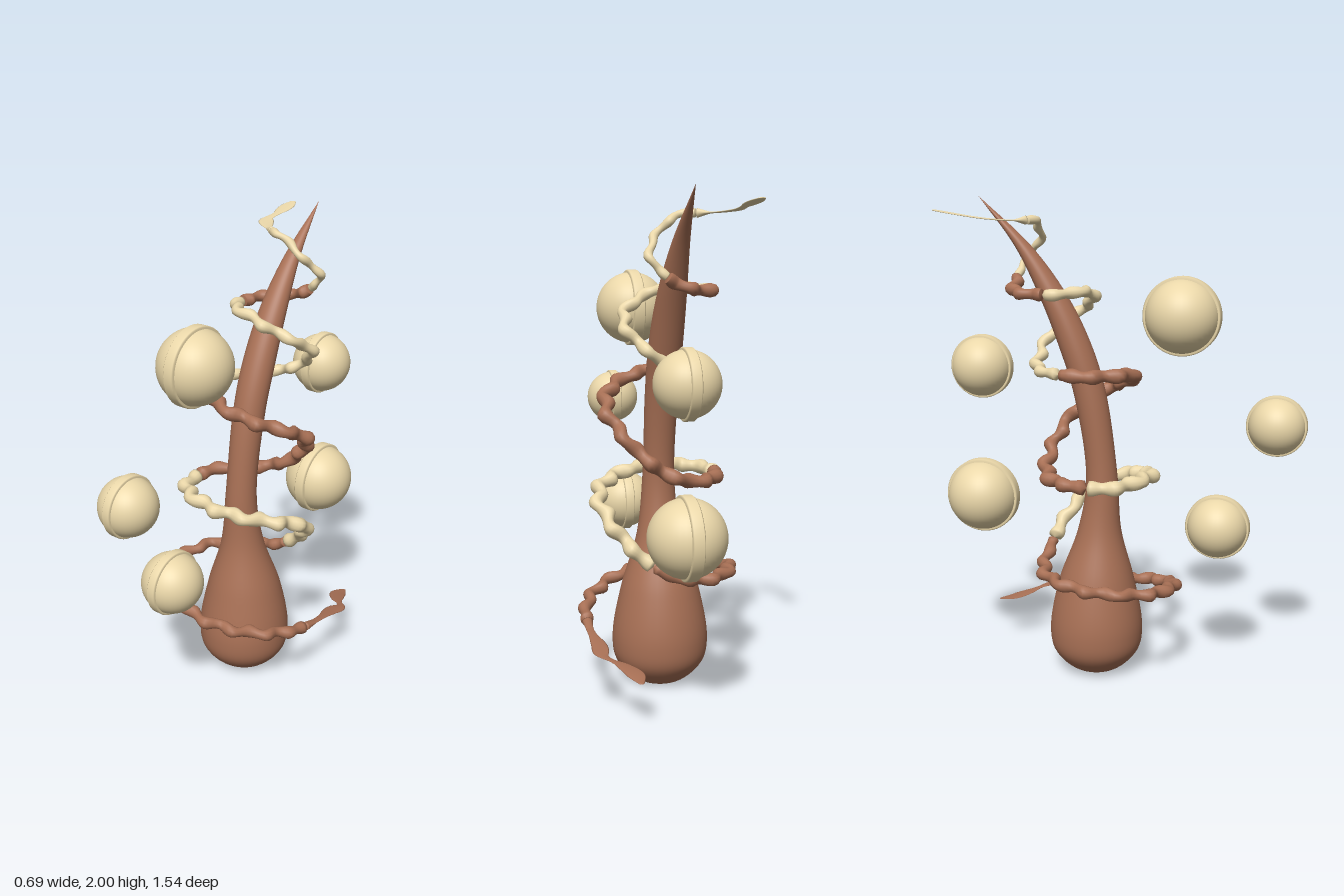
import * as THREE from 'three';

const brown = new THREE.MeshStandardMaterial({ color: 0xa87055, side: THREE.DoubleSide });
const cream = new THREE.MeshStandardMaterial({ color: 0xead7a9, side: THREE.DoubleSide });
const UP = new THREE.Vector3(0, 1, 0);
const V = (p) => new THREE.Vector3(...p);

// Skin a list of rings { c: centre, s: side vector, n: normal vector }
function loft(rings, sides) {
  const pos = [], idx = [];
  rings.forEach(({ c, s, n }, i) => {
    for (let j = 0; j < sides; j++) {
      const a = (j / sides) * Math.PI * 2;
      const p = c.clone().addScaledVector(s, Math.cos(a)).addScaledVector(n, Math.sin(a));
      pos.push(p.x, p.y, p.z);
      if (i === rings.length - 1) continue;
      const k = i * sides + j, l = i * sides + ((j + 1) % sides);
      idx.push(k, k + sides, l, l, k + sides, l + sides);
    }
  });
  const g = new THREE.BufferGeometry();
  g.setAttribute('position', new THREE.Float32BufferAttribute(pos, 3));
  g.setIndex(idx);
  g.computeVertexNormals();
  return g;
}

// Sweep an ellipse along points; size(u, length) gives [half width, half height]
function sweep(points, size, wobble = 0, steps = 110, sides = 12) {
  const curve = new THREE.CatmullRomCurve3(points, false, 'centripetal');
  const len = curve.getLength();
  const rings = [];
  for (let i = 0; i <= steps; i++) {
    const u = i / steps;
    const t = curve.getTangentAt(u);
    const s = new THREE.Vector3().crossVectors(t, UP).normalize();
    const n = new THREE.Vector3().crossVectors(s, t);
    const fade = Math.min(1, u * 8, (1 - u) * 8);
    const c = curve.getPointAt(u).addScaledVector(s, wobble * fade * Math.sin((u * len / 0.13) * Math.PI * 2));
    const [w, h] = size(u, len);
    const end = i === 0 || i === steps ? 0 : 1;
    rings.push({ c, s: s.multiplyScalar(w * end), n: n.multiplyScalar(h * end) });
  }
  return loft(rings, sides);
}

function add(parent, name, geometry, material) {
  const m = new THREE.Mesh(geometry, material);
  m.name = name;
  parent.add(m);
  return m;
}

// Vine guide, one key per quarter turn (right, front, left, back): [radius, y, centre z]
const guide = new THREE.CatmullRomCurve3([
  [0.305, 0.28, -0.12], [0.3, 0.39, -0.065], [0.31, 0.455, -0.06], [0.24, 0.5, -0.07],
  [0.25, 0.77, -0.12], [0.23, 0.865, -0.1], [0.245, 0.865, -0.07], [0.21, 0.9, -0.1],
  [0.23, 1.16, -0.15], [0.19, 1.285, -0.135], [0.19, 1.305, -0.14], [0.17, 1.33, -0.175],
  [0.18, 1.5, -0.25], [0.14, 1.62, -0.26], [0.16, 1.62, -0.27], [0.13, 1.64, -0.31],
  [0.115, 1.77, -0.4], [0.07, 1.895, -0.405], [0.12, 1.905, -0.42],
].map(V), false, 'catmullrom');

// Point on the vine after q quarter turns
function vinePoint(q) {
  const k = guide.getPoint(q / 18);
  const a = (q * Math.PI) / 2;
  return new THREE.Vector3(k.x * Math.cos(a), k.y, k.z + k.x * Math.sin(a));
}

export function createModel() {
  const model = new THREE.Group();
  model.name = 'hornWithVineAndOrbs';

  // Bulbous horn leaning back to a point: [radius, y, z]
  const profile = new THREE.CatmullRomCurve3([
    [0, 0, -0.095], [0.09, 0.006, -0.095], [0.18, 0.09, -0.095], [0.197, 0.19, -0.095],
    [0.16, 0.4, -0.093], [0.092, 0.62, -0.08], [0.066, 0.85, -0.069], [0.067, 1.2, -0.118],
    [0.068, 1.4, -0.18], [0.058, 1.6, -0.27], [0.034, 1.8, -0.397], [0, 2, -0.585],
  ].map(V), false, 'centripetal');
  const hornRings = profile.getPoints(90).map((p) => {
    const r = Math.max(0, p.x);
    return { c: new THREE.Vector3(-0.007, Math.max(0, p.y), p.z), s: new THREE.Vector3(r, 0, 0), n: new THREE.Vector3(0, 0, r) };
  });
  add(model, 'horn', loft(hornRings, 40), brown);

  // Winding vine: wavy coils of alternating colour, joined end to end
  const vine = new THREE.Group();
  vine.name = 'vine';
  model.add(vine);
  const joints = [0, 3.2, 6, 10.2, 14, 15.3, 17.6];
  [0.024, 0.028, 0.027, 0.022, 0.023, 0.016].forEach((r, i) => {
    const from = joints[i], to = joints[i + 1];
    const count = Math.ceil((to - from) * 8);
    const points = Array.from({ length: count + 1 }, (_, j) => vinePoint(from + ((to - from) * j) / count));
    const size = (u, len) => {
      const k = r * (1 + 0.15 * Math.sin((u * len / 0.09) * Math.PI * 2));
      return [k, k];
    };
    add(vine, 'vineCoil', sweep(points, size, Math.min(0.015, r * 0.6)), i % 2 ? cream : brown);
  });

  // Flat leaf blades ending the vine: half widths spaced evenly along the blade
  const blade = (widths) => {
    const c = new THREE.CatmullRomCurve3(widths.map((w, i) => new THREE.Vector3(i, w, 0)));
    return (u) => [Math.max(0.001, c.getPoint(u).y), 0.003 + 0.016 * Math.max(0, 1 - u * 7)];
  };
  add(vine, 'lowerLeaf', sweep([
    vinePoint(0), V([0.31, 0.27, -0.22]), V([0.3, 0.25, -0.33]), V([0.3, 0.235, -0.41]),
    V([0.24, 0.215, -0.48]), V([0.205, 0.2, -0.54]), V([0.195, 0.185, -0.61]),
  ], blade([0.022, 0.016, 0.018, 0.03, 0.032, 0.013, 0.03, 0.036, 0.008])), brown);
  add(vine, 'upperLeaf', sweep([
    vinePoint(17.6), V([-0.14, 1.908, -0.41]), V([-0.195, 1.915, -0.48]),
    V([-0.2, 1.925, -0.56]), V([-0.215, 1.948, -0.7]),
  ], blade([0.014, 0.015, 0.026, 0.032, 0.02, 0.018, 0.03, 0.03, 0.012])), cream);

  // Floating orbs, each with a raised rim around its middle: [y, z, rim radius]
  [[1.53, 0.258, 0.16], [1.1, 0.65, 0.123], [0.66, 0.418, 0.134], [1.295, -0.6, 0.134], [0.73, -0.61, 0.16]]
    .forEach(([y, z, r]) => {
      const orb = new THREE.Group();
      orb.name = 'orb';
      orb.position.set(0.025, y, z);
      add(orb, 'orbBall', new THREE.SphereGeometry(r * 0.94, 40, 28), cream);
      const h = r * 0.15, b = r * 0.03;
      const rim = [[r * 0.8, -h], [r - b, -h], [r, b - h], [r, h - b], [r - b, h], [r * 0.8, h]];
      add(orb, 'orbRim', new THREE.LatheGeometry(rim.map((p) => new THREE.Vector2(...p)), 48), cream)
        .rotation.z = Math.PI / 2;
      model.add(orb);
    });

  return model;
}
